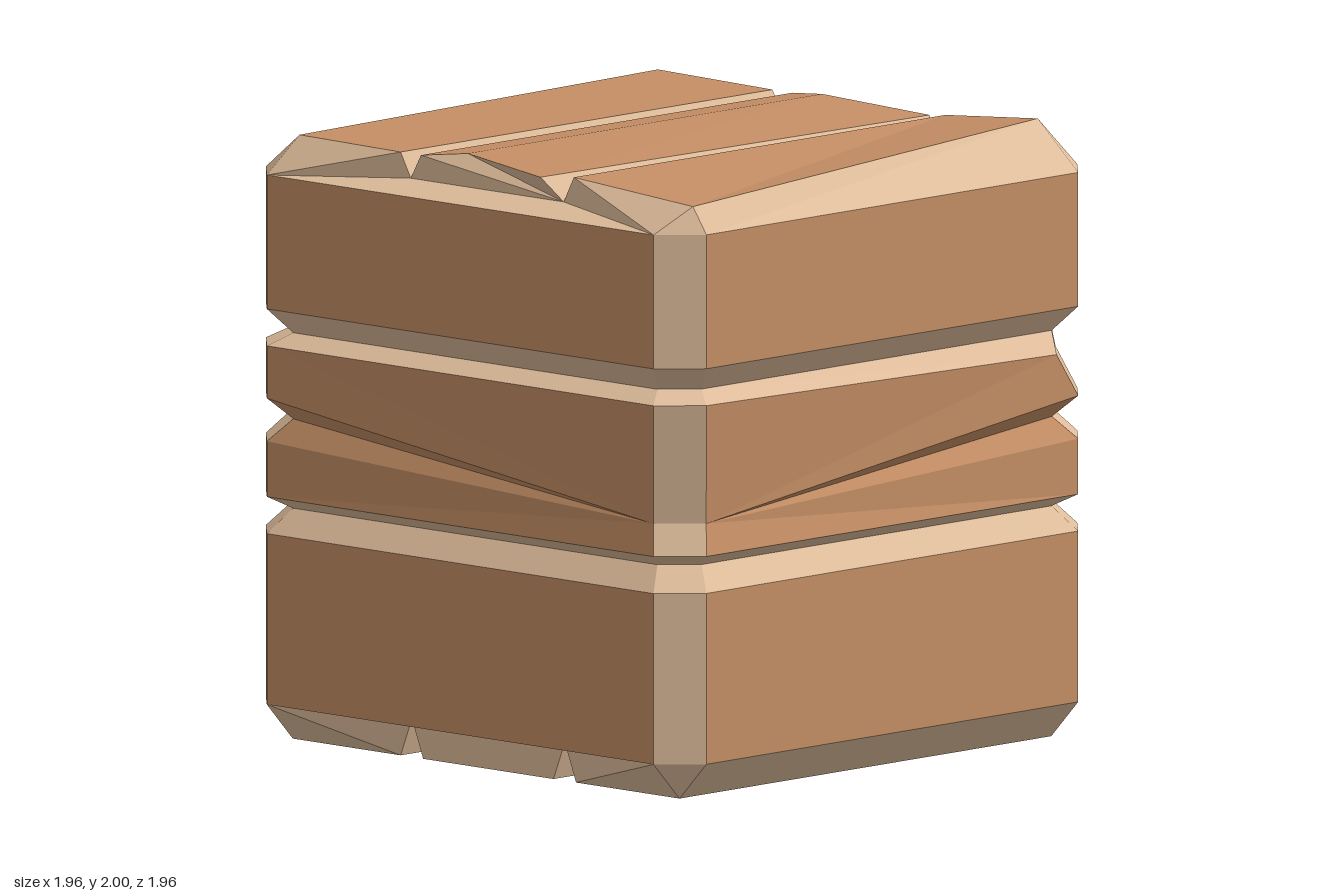
import * as THREE from 'three';

// Collects triangles and turns them into one flat-shaded mesh
class Part {
  constructor(name, color) {
    this.name = name;
    this.color = color;
    this.pos = [];
  }
  tri(a, b, c, flip = false) {
    this.pos.push(...a, ...(flip ? c : b), ...(flip ? b : c));
  }
  mesh() {
    const g = new THREE.BufferGeometry();
    g.setAttribute('position', new THREE.Float32BufferAttribute(this.pos, 3));
    g.computeVertexNormals();
    const m = new THREE.Mesh(g, new THREE.MeshStandardMaterial({ color: this.color, flatShading: true }));
    m.name = this.name;
    return m;
  }
}

// Corner edge, bottom to top: [along the wall, out from the centre, y, x shift]
const LOW = [[.86, .98, .125], [.86, .98, .68], [.81, .91, .76], [.86, .98, .8]];
const TOP = [[.86, .98, 1.29], [.81, .91, 1.33], [.86, .98, 1.41], [.86, .98, 1.845]];
const NOTCH = [[.86, .98, .98], [.79, .93, 1.055], [.86, .98, 1.12]];

function corner(sx, sz, middle, top = TOP) {
  const rows = [...LOW, ...middle, ...top];
  const onZ = rows.map(([a, d, y, dx = 0]) => [sx * a + dx, y, sz * d]);
  const onX = rows.map(([a, d, y, dx = 0]) => [sx * d + dx, y === 1.41 && sx > 0 ? 1.43 : y, sz * a]);
  return sx * sz > 0 ? { first: onZ, second: onX } : { first: onX, second: onZ };
}

// Plank walls, grooves between them and chipped corners
function addWalls(wood, bevel) {
  const corners = [
    corner(1, 1, NOTCH, [[.86, .98, 1.265, -.1], ...TOP.slice(1)]),
    corner(1, -1, [[.82, .95, 1.15]]),
    corner(-1, -1, NOTCH),
    corner(-1, 1, [[.83, .95, .9]]),
  ];
  corners.forEach(({ first, second }, k) => {
    for (let i = 0; i < first.length - 1; i++) {
      bevel.tri(first[i], second[i], second[i + 1]);
      bevel.tri(first[i], second[i + 1], first[i + 1]);
    }
    // zip this corner to the next one by height
    const l = second, r = corners[(k + 1) % 4].first;
    let i = 0, j = 0;
    while (i < l.length - 1 || j < r.length - 1) {
      const goLeft = j === r.length - 1 || (i < l.length - 1 && l[i + 1][1] <= r[j + 1][1]);
      const c = goLeft ? l[i + 1] : r[j + 1];
      const y = (l[i][1] + r[j][1] + c[1]) / 3;
      const isPlank = y < .6 || (y > .81 && y < 1.29) || y > 1.41;
      (isPlank ? wood : bevel).tri(l[i], r[j], c);
      if (goLeft) i++; else j++;
    }
  });
}

// Three planks with two V grooves, closing the top or the bottom.
// Profiles run front to back: edge, plank, groove, plank, groove, plank, edge.
function addCap(wood, bevel, left, right, flip) {
  const n = left.length, g1 = 3, g2 = n - 4;
  for (let i = 0; i < n - 1; i++) {
    const isPlank = i === 1 || i === n - 3 || (i > g1 && i < g2 - 1);
    const part = isPlank ? wood : bevel;
    part.tri(left[i], right[i], right[i + 1], flip);
    part.tri(left[i], right[i + 1], left[i + 1], flip);
  }
  // plank ends and the ledge below the middle plank
  for (const [p, side] of [[right, 1], [left, -1]]) {
    const f = flip !== (side < 0), y = p[0][1];
    const front = [side * .98, y, .86], back = [side * .98, y, -.86];
    for (let i = 0; i < g1; i++) bevel.tri(front, p[i + 1], p[i], f);
    for (let i = g1 + 1; i < g2; i++) bevel.tri(p[g1], p[i + 1], p[i], f);
    for (let i = g2; i < n - 1; i++) bevel.tri(back, p[i + 1], p[i], f);
    bevel.tri(front, p[g2], p[g1], f);
    bevel.tri(front, back, p[g2], f);
  }
}

export function createModel() {
  const wood = new Part('planks', 0xc48e65);
  const bevel = new Part('bevelsAndGrooves', 0xdfbd9b);
  addWalls(wood, bevel);

  // worn, uneven top
  const topRight = [
    [.86, 1.845, .98], [.86, 2, .8], [.86, 1.965, .39], [.86, 1.88, .345],
    [.89, 1.95, .29], [.82, 1.98, -.12], [.86, 1.96, -.29],
    [.86, 1.88, -.335], [.86, 1.96, -.38], [.85, 1.97, -.88], [.86, 1.845, -.98],
  ];
  const topLeft = topRight.map(([x, y, z]) => [-x, y, z]);
  topLeft[1] = [-.86, 1.93, .92];
  topLeft[4] = [-.91, 1.96, .29];
  topLeft[9] = [-.86, 1.965, -.83];
  addCap(wood, bevel, topLeft, topRight, false);

  // straight bottom
  const base = [[.125, .98], [0, .86], [0, .4], [.125, .35], [0, .3], [0, -.28],
    [.125, -.33], [0, -.38], [0, -.86], [.125, -.98]];
  const baseAt = (x) => base.map(([y, z]) => [x, y, z]);
  addCap(wood, bevel, baseAt(-.86), baseAt(.86), true);

  const group = new THREE.Group();
  group.name = 'woodenCrate';
  group.add(wood.mesh(), bevel.mesh());
  return group;
}
